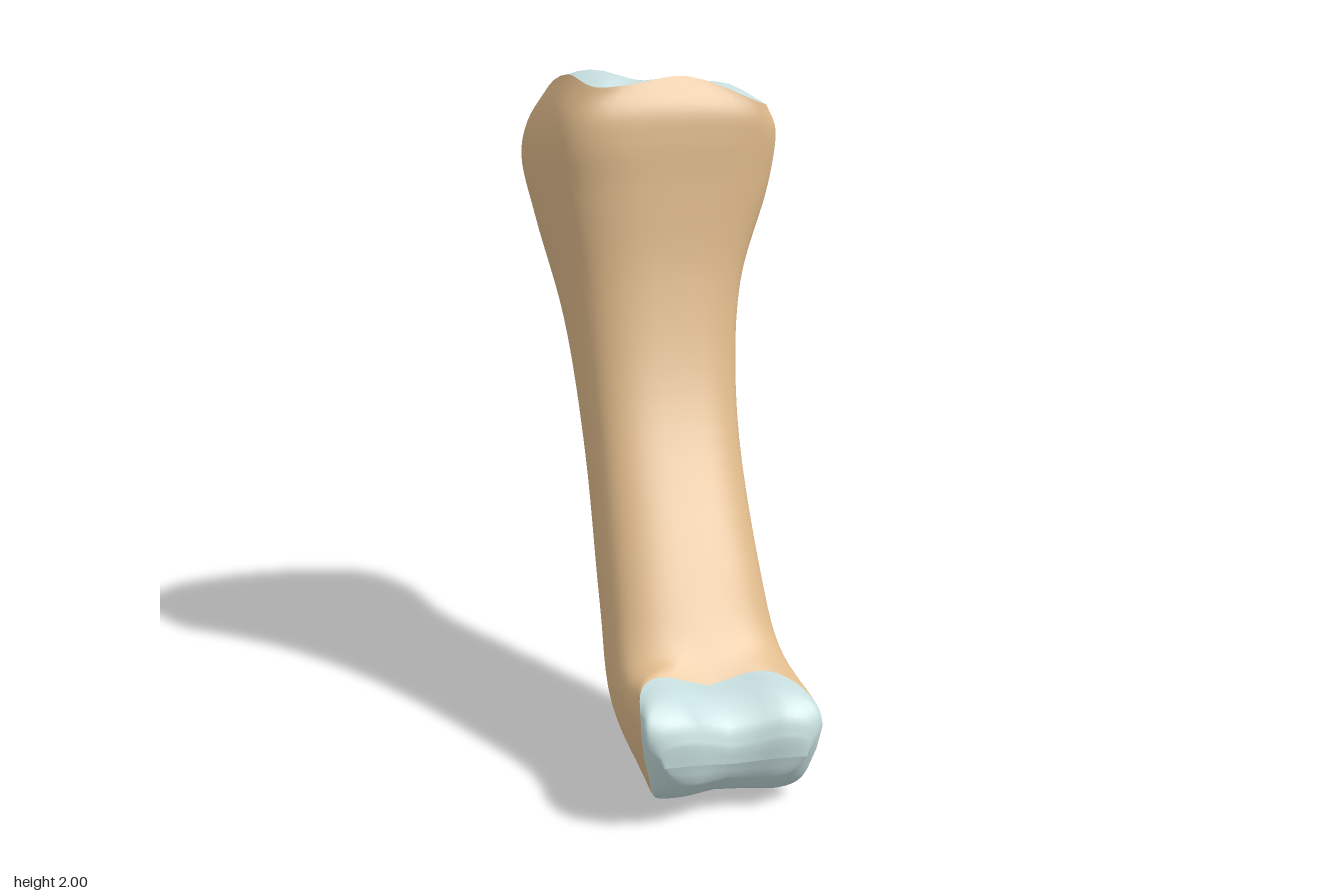
import * as THREE from 'three';

const SIDES = 48;
const BONE = 0xdeb98a, CARTILAGE = 0xc6dddd;

// Cross-sections: front y, z, back y, z, min x, max x, squareness, back corner cut
const SHAFT = [
  [1.80, -0.172, 1.70, -0.715, -0.305, 0.445, 3.8, 0.12],
  [1.66, -0.155, 1.50, -0.645, -0.292, 0.418, 3.2, 0.10],
  [1.38, -0.108, 1.20, -0.47, -0.263, 0.288, 2.8, 0.07],
  [1.02, 0.02, 0.82, -0.242, -0.282, 0.20, 2.8, 0.05],
  [0.60, 0.295, 0.43, 0.033, -0.358, 0.137, 2.9, 0.05],
  [0.42, 0.425, 0.19, 0.265, -0.41, 0.12, 3.3, 0.03],
];
// Rounded far end: as above, the last number being how far the sides reach forward
const HEAD = [
  [0.365, 0.50, -0.012, 0.455, -0.452, 0.105, 4.6, 0.17],
  [0.35, 0.60, -0.012, 0.53, -0.452, 0.095, 4.6, 0.10],
  [0.295, 0.685, 0.04, 0.635, -0.445, 0.075, 4.6, 0.02],
  [0.235, 0.713, 0.105, 0.70, -0.42, 0.04, 4.2, 0],
];
// Edge of the sloping joint surface, from +x round by the front
const RIM = [
  [0.42, 1.85, -0.45], [0.405, 1.87, -0.28], [0.335, 1.895, -0.19], [0.12, 1.98, -0.25],
  [-0.08, 1.965, -0.25], [-0.185, 1.965, -0.26], [-0.215, 1.99, -0.38], [-0.20, 1.91, -0.59],
  [-0.14, 1.84, -0.67], [0.03, 1.77, -0.705], [0.22, 1.76, -0.66], [0.40, 1.79, -0.56],
];

// One cross-section, its points then adjusted by a rule
function ring([yF, zF, yB, zB, x0, x1, n, amount], adjust) {
  const round = (c) => Math.sign(c) * Math.pow(Math.abs(c), 2 / n);
  const mid = (x0 + x1) / 2;
  return Array.from({ length: SIDES }, (_, j) => {
    const a = (j / SIDES) * Math.PI * 2;
    const u = round(Math.cos(a)), v = round(Math.sin(a)), t = (1 - v) / 2;
    const p = new THREE.Vector3(mid + (u * (x1 - x0)) / 2, yF + (yB - yF) * t, zF + (zB - zF) * t);
    adjust(p, u, v, amount, mid);
    return p;
  });
}

// Trim the back corners, mostly on +x, and turn the front face slightly
function shapeShaft(p, u, v, cut) {
  p.z += cut * (Math.max(0, u) + 0.3 * Math.max(0, -u)) * Math.max(0, -v);
  p.z += 0.25 * cut * u * Math.max(0, v);
}

// Narrower underside, side reach, slant and the groove between two knuckles
function shapeHead(p, u, v, reach, mid) {
  p.x = mid + (p.x - mid) * (1 - 0.18 * Math.max(0, 0.25 - v));
  const groove = Math.exp(-(((p.x + 0.17) / 0.1) ** 2));
  p.y = Math.max(0, p.y - 0.09 * (p.x + 0.05) - 0.045 * groove * Math.max(0, v));
  p.z += reach * Math.abs(u) ** 6 + 0.08 * p.x - (reach > 0.12 ? 0 : 0.04 * groove);
}

// Smooth the rings lengthwise with a curve through each column
function smooth(rings, steps) {
  const columns = rings[0].map((_, j) =>
    new THREE.CatmullRomCurve3(rings.map((r) => r[j]), false, 'centripetal'));
  const count = (rings.length - 1) * steps;
  return Array.from({ length: count + 1 }, (_, i) => columns.map((c) => c.getPoint(i / count)));
}

function skin(name, rings, color) {
  const index = [];
  for (let i = 0; i < rings.length - 1; i++) {
    for (let j = 0; j < SIDES; j++) {
      const k = (j + 1) % SIDES;
      const a = i * SIDES + j, b = i * SIDES + k, c = a + SIDES, d = b + SIDES;
      index.push(a, b, c, b, d, c);
    }
  }
  const geometry = new THREE.BufferGeometry().setFromPoints(rings.flat());
  geometry.setIndex(index);
  geometry.computeVertexNormals();
  const mesh = new THREE.Mesh(geometry, new THREE.MeshStandardMaterial({ color }));
  mesh.name = name;
  return mesh;
}

export function createModel() {
  const group = new THREE.Group();
  group.name = 'fingerBone';

  const rimCurve = new THREE.CatmullRomCurve3(
    RIM.map((p) => new THREE.Vector3(...p)), true, 'centripetal');
  const rim = Array.from({ length: SIDES }, (_, j) => rimCurve.getPoint(j / SIDES));
  const shaft = SHAFT.map((s) => ring(s, shapeShaft));
  const head = HEAD.map((s) => ring(s, shapeHead));

  // Rounded shoulder between the rim and the widest section
  const shoulder = rim.map((p, j) => {
    const q = p.clone().lerp(shaft[0][j], 0.75);
    q.y = (p.y + shaft[0][j].y) / 2;
    return q;
  });

  // Bone from the joint rim down to the edge of the head
  group.add(skin('boneShaft', smooth([rim, shoulder, ...shaft, head[0]], 6), BONE));

  // Joint surface sloping down to the back and +x, with two raised front corners
  const bump = (x, z, cx, cz, size) => Math.exp(-((x - cx) ** 2 + (z - cz) ** 2) / size);
  const dish = [0.002, 0.2, 0.4, 0.55, 0.7, 0.8, 0.9, 1].map((t) => rim.map((p) => {
    const x = 0.1 + (p.x - 0.1) * t, z = -0.45 + (p.z + 0.45) * t;
    const floor = 1.875 + 0.34 * (z + 0.45) - 0.16 * (x - 0.1);
    const raised = 0.06 * bump(x, z, 0.28, -0.32, 0.025) + 0.06 * bump(x, z, -0.15, -0.36, 0.02);
    return new THREE.Vector3(x, floor + (p.y - floor) * t ** 3 + raised * (1 - t ** 4), z);
  }));
  group.add(skin('baseCartilage', dish, CARTILAGE));

  // Two-knuckled joint surface, closed along a line across its front
  const cap = smooth(head, 5);
  const last = cap[cap.length - 1];
  for (const t of [0.25, 0.5]) {
    cap.push(last.map((p, j) => {
      const q = p.clone().lerp(last[(SIDES - j) % SIDES], t);
      q.z += 0.012 * t;
      return q;
    }));
  }
  group.add(skin('headCartilage', cap, CARTILAGE));

  return group;
}
